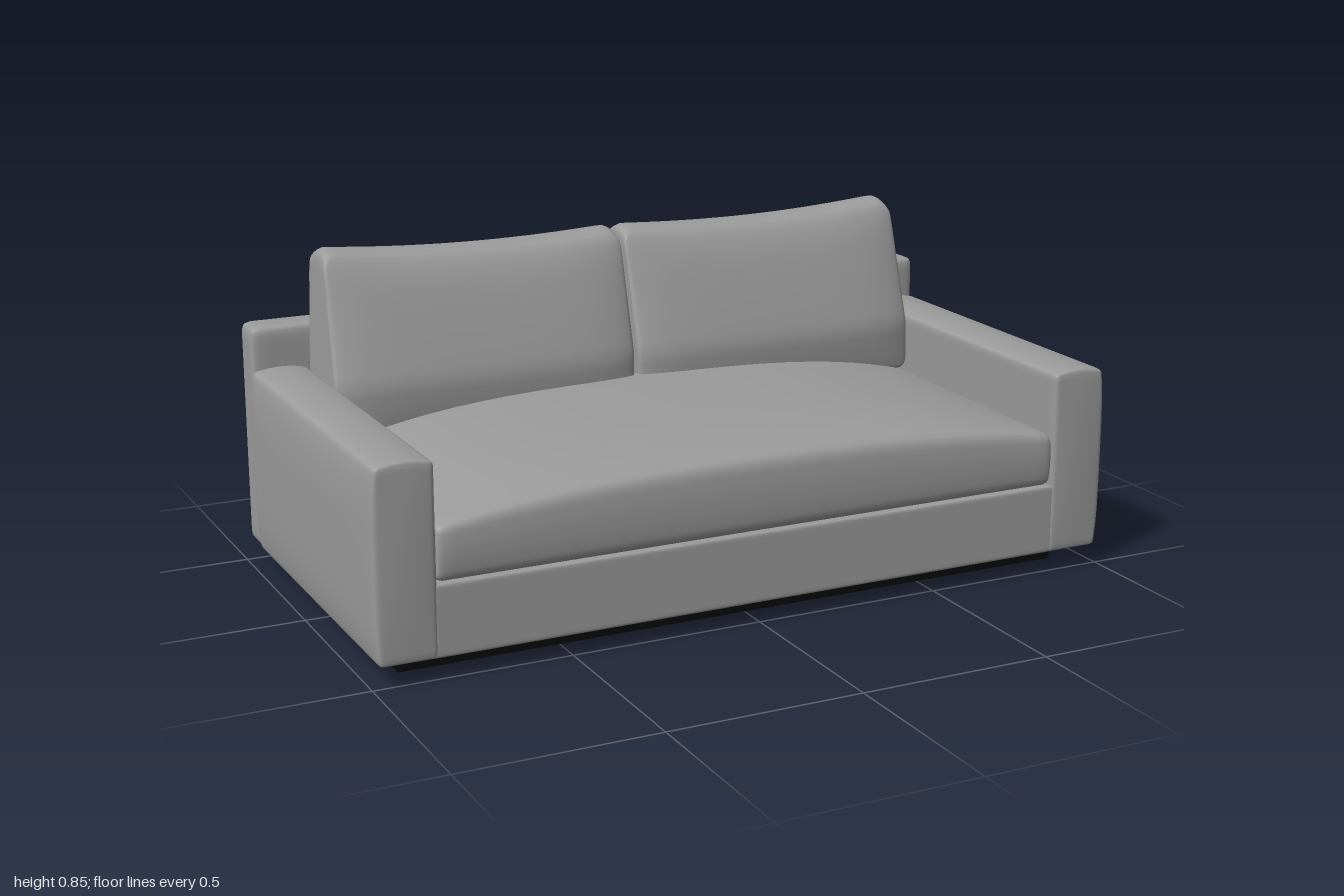
import * as THREE from 'three';
import { mergeVertices } from 'three/addons/utils/BufferGeometryUtils.js';

const fabric = new THREE.MeshStandardMaterial({ name: 'grey fabric', color: 0x9b9b9b });
const black = new THREE.MeshStandardMaterial({ name: 'black runner', color: 0x090909 });

// Rounded block spanning min..max; rule(p, n) then shapes each point, n being -1..1 per axis.
function softBlock(min, max, r, rule) {
  const lo = new THREE.Vector3(...min), hi = new THREE.Vector3(...max);
  const centre = lo.clone().add(hi).multiplyScalar(0.5);
  const half = hi.clone().sub(lo).multiplyScalar(0.5);
  const inner = half.clone().subScalar(r);
  let g = new THREE.BoxGeometry(2, 2, 2, 28, 22, 22);
  g.deleteAttribute('uv');
  g.deleteAttribute('normal');
  g = mergeVertices(g, 1e-5);
  const pos = g.attributes.position;
  const p = new THREE.Vector3(), n = new THREE.Vector3(), core = new THREE.Vector3();
  const crowd = t => Math.sin(t * Math.PI / 2); // more points near the edges
  for (let i = 0; i < pos.count; i++) {
    p.fromBufferAttribute(pos, i);
    p.set(crowd(p.x), crowd(p.y), crowd(p.z)).multiply(half);
    core.copy(p).clamp(inner.clone().negate(), inner);
    p.sub(core).setLength(r).add(core);
    n.copy(p).divide(half);
    p.add(centre);
    if (rule) rule(p, n);
    pos.setXYZ(i, p.x, p.y, p.z);
  }
  g.computeVertexNormals();
  return g;
}

function add(parent, name, geometry, material = fabric) {
  const mesh = new THREE.Mesh(geometry, material);
  mesh.name = name;
  parent.add(mesh);
  return mesh;
}

function box(parent, name, min, max, material) {
  const s = max.map((v, i) => v - min[i]);
  const mesh = add(parent, name, new THREE.BoxGeometry(...s), material);
  mesh.position.set(...max.map((v, i) => (v + min[i]) / 2));
  return mesh;
}

export function createModel() {
  const sofa = new THREE.Group();
  sofa.name = 'sofa';

  // Base frame under the seat
  add(sofa, 'baseFrame', softBlock([-0.86, 0.055, -0.45], [0.86, 0.236, 0.513], 0.008));

  // Upright back panel, slightly padded behind
  add(sofa, 'backPanel', softBlock([-0.985, 0.055, -0.515], [0.985, 0.645, -0.413], 0.022, (p, n) => {
    if (n.z < 0) p.z += 0.008 * n.z * (1 - n.x ** 4) * (1 - n.y ** 4);
  }));

  // Wide seat cushion with a domed top
  add(sofa, 'seatCushion', softBlock([-0.842, 0.235, -0.44], [0.842, 0.375, 0.51], 0.022, (p, n) => {
    const lift = (n.y + 1) / 2;
    const u = Math.abs(n.x);
    p.y += lift * (0.05 * (1 - u ** 2.6) + 0.037 * (1 - n.z ** 4) * (1 - u ** 4));
    if (n.z > 0) p.z += 0.008 * n.z * (1 - n.y * n.y);
  }));

  for (const side of [-1, 1]) {
    const label = side > 0 ? 'left' : 'right';

    // Arm, bulging a little on its outer face and sloping at the top edge
    const x = [side * 0.84, side * 0.985].sort((a, b) => a - b);
    add(sofa, label + 'Arm', softBlock([x[0], 0.055, -0.42], [x[1], 0.54, 0.515], 0.012, (p, n) => {
      const out = n.x * side;
      if (out > 0) p.x += side * 0.015 * out * (1 - n.y ** 4) * (1 - 0.4 * n.z ** 4);
      if (n.y > 0) p.y -= 0.010 * n.y * n.x * n.x;
      if (n.z > 0) p.z += 0.006 * n.z * (1 - n.y * n.y) * (1 - n.x * n.x);
    }));

    // Leaning back cushion: thick below, narrow and crowned above
    const c = [side * 0.006, side * 0.84].sort((a, b) => a - b);
    add(sofa, label + 'BackCushion', softBlock([c[0], 0.385, -1], [c[1], 0.83, 1], 0.03, (p, n) => {
      const s = (n.y + 1) / 2;
      const plump = (1 - n.x ** 4) * (1 - n.y ** 4);
      const front = -0.19 - 0.095 * Math.max(0, (s - 0.3) / 0.7) + 0.014 * plump;
      const rear = -0.425 + 0.012 * s * s - 0.02 * plump;
      // pull the rim together for a pillow edge
      const rim = 1 - 0.1 * Math.abs(n.x) ** 10 - 0.12 * Math.max(0, n.y) ** 12;
      p.z = (front + rear) / 2 + n.z * rim * (front - rear) / 2;
      const crown = 0.018 * (1 - n.z * n.z);
      const sag = 0.018 * (1 - n.x * n.x) - 0.006 * n.x * side;
      if (n.y > 0) p.y += n.y * (crown - sag);
      if (n.x * side > 0) p.x -= side * 0.015 * s * n.x * side;
    }));
  }

  // Shallow flap on the rear of the back panel, flush at one edge
  const flap = new THREE.Shape([[0, 0.1], [0, 0.51], [-0.34, 0.46], [-0.34, 0.15]]
    .map(([a, b]) => new THREE.Vector2(a, b)));
  const flapGeometry = new THREE.ExtrudeGeometry(flap, { depth: 0.009, bevelEnabled: false });
  const fp = flapGeometry.attributes.position;
  for (let i = 0; i < fp.count; i++) fp.setZ(i, fp.getZ(i) - 0.524 - 0.001 * fp.getX(i));
  flapGeometry.computeVertexNormals();
  add(sofa, 'rearFlap', flapGeometry);

  // Long black runners under the body, with small spacers above them
  for (const [name, z0, z1] of [['frontRunner', 0.34, 0.42], ['rearRunner', -0.355, -0.27]]) {
    box(sofa, name, [-0.91, 0, z0], [0.91, 0.047, z1], black);
    for (const x of [-0.75, 0.75])
      box(sofa, name + 'Spacer', [x - 0.05, 0.045, z0 + 0.01], [x + 0.05, 0.058, z1 - 0.01], black);
  }

  // Small pads on the underside
  for (const x of [-0.78, 0.78])
    box(sofa, 'undersidePad', [x - 0.04, 0.049, 0.085], [x + 0.04, 0.058, 0.165], fabric);

  return sofa;
}
